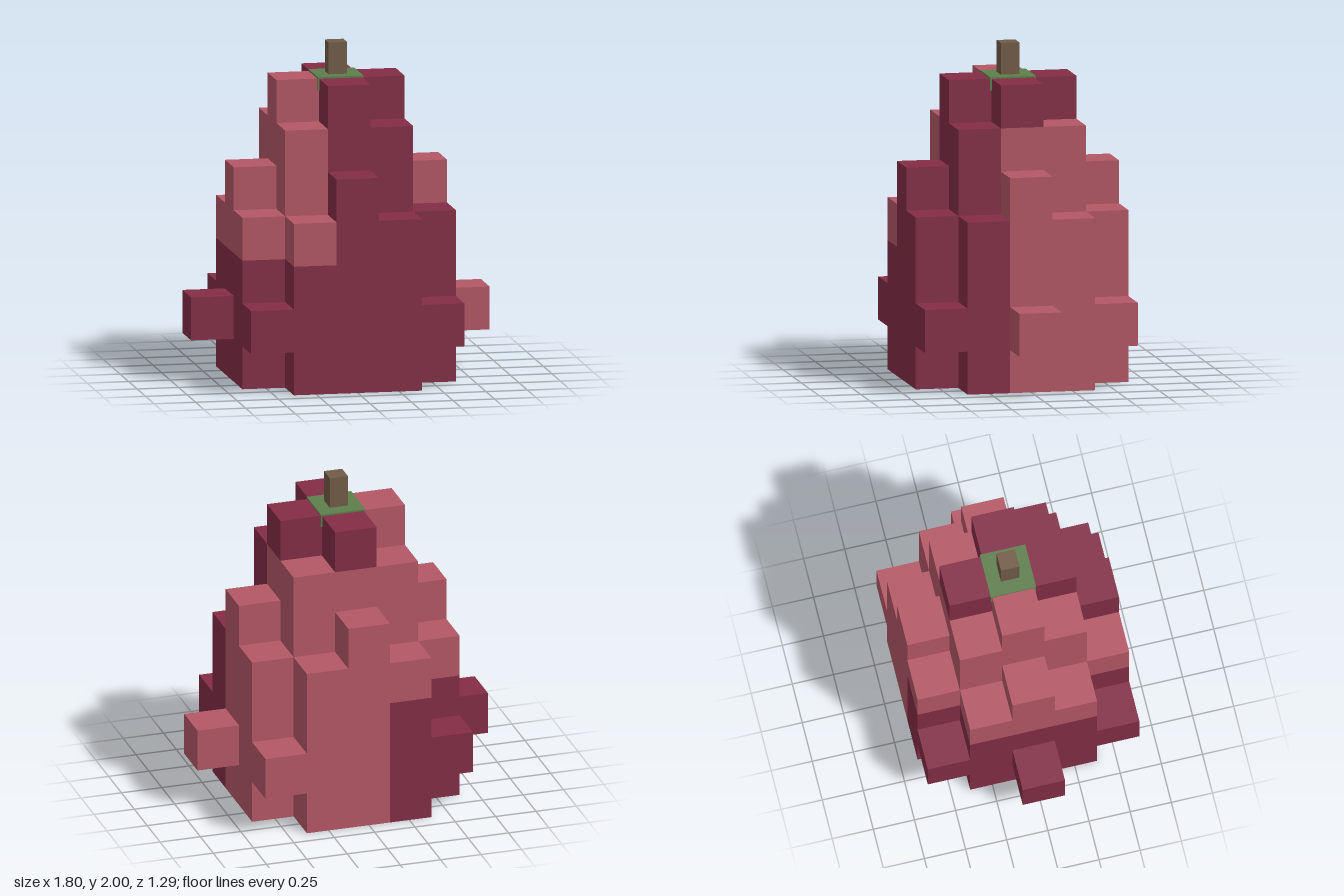
import * as THREE from 'three';
import { mergeGeometries } from 'three/addons/utils/BufferGeometryUtils.js';

const CELL = 1.8 / 7;

// Is there a block at column x, layer y, row z?
function filled(x, y, z) {
  const ax = Math.abs(x), az = Math.abs(z);
  if (y < 0 || y > 6) return false;
  if (y === 1 && ax === 3 && az === 0) return true; // side nubs
  if (ax > 2 || az > 2) return false;
  if (y === 0) return !(ax === 2 && az === 2) && !(ax === 1 && az === 1); // dimpled base
  if (y === 1) return true;
  if (y <= 3) return !(ax === 2 && az === 2);
  if (y === 4) return (ax <= 1 && az <= 1) || ax + az === 2;
  if (y === 5) return ax <= 1 && az <= 1;
  return ax + az <= 1; // crown
}

// Light patches cover the upper right flank and the back left quarter
function isLight(x, y, z) {
  if (x < 0) return y >= 3;
  if (z > 0 || y === 6) return false;
  return y > 0 || Math.abs(x) === 2 || Math.abs(z) === 2;
}

// Outer faces only, for the blocks of one colour
function blockSkin(light) {
  const sides = [
    [0, 0, 1, 0, 0], [0, 0, -1, 0, Math.PI],
    [1, 0, 0, 0, Math.PI / 2], [-1, 0, 0, 0, -Math.PI / 2],
    [0, 1, 0, -Math.PI / 2, 0], [0, -1, 0, Math.PI / 2, 0],
  ];
  const faces = [];
  for (let x = -3; x <= 3; x++)
    for (let y = 0; y <= 6; y++)
      for (let z = -3; z <= 3; z++) {
        if (!filled(x, y, z) || isLight(x, y, z) !== light) continue;
        for (const [dx, dy, dz, rx, ry] of sides) {
          if (filled(x + dx, y + dy, z + dz)) continue;
          const face = new THREE.PlaneGeometry(CELL, CELL);
          face.rotateX(rx).rotateY(ry);
          face.translate((x + dx / 2) * CELL, (y + 0.5 + dy / 2) * CELL, (z + dz / 2) * CELL);
          faces.push(face);
        }
      }
  return mergeGeometries(faces);
}

export function createModel() {
  const group = new THREE.Group();
  group.name = 'blockFruit';
  const material = (name, color) => {
    const m = new THREE.MeshStandardMaterial({ color });
    m.name = name;
    return m;
  };
  const add = (name, geometry, mat, y = 0) => {
    const mesh = new THREE.Mesh(geometry, mat);
    mesh.name = name;
    mesh.position.y = y;
    group.add(mesh);
  };

  // Fruit body
  add('darkSkin', blockSkin(false), material('dark red', 0x842d46));
  add('lightSkin', blockSkin(true), material('rose', 0xb45765));

  // Leaf cap and stem
  add('leafCap', new THREE.BoxGeometry(0.276, 0.08, 0.276), material('leaf green', 0x5e7f4c), 1.77);
  add('stem', new THREE.BoxGeometry(0.112, 0.2, 0.112), material('stem brown', 0x725c47), 1.9);
  return group;
}
